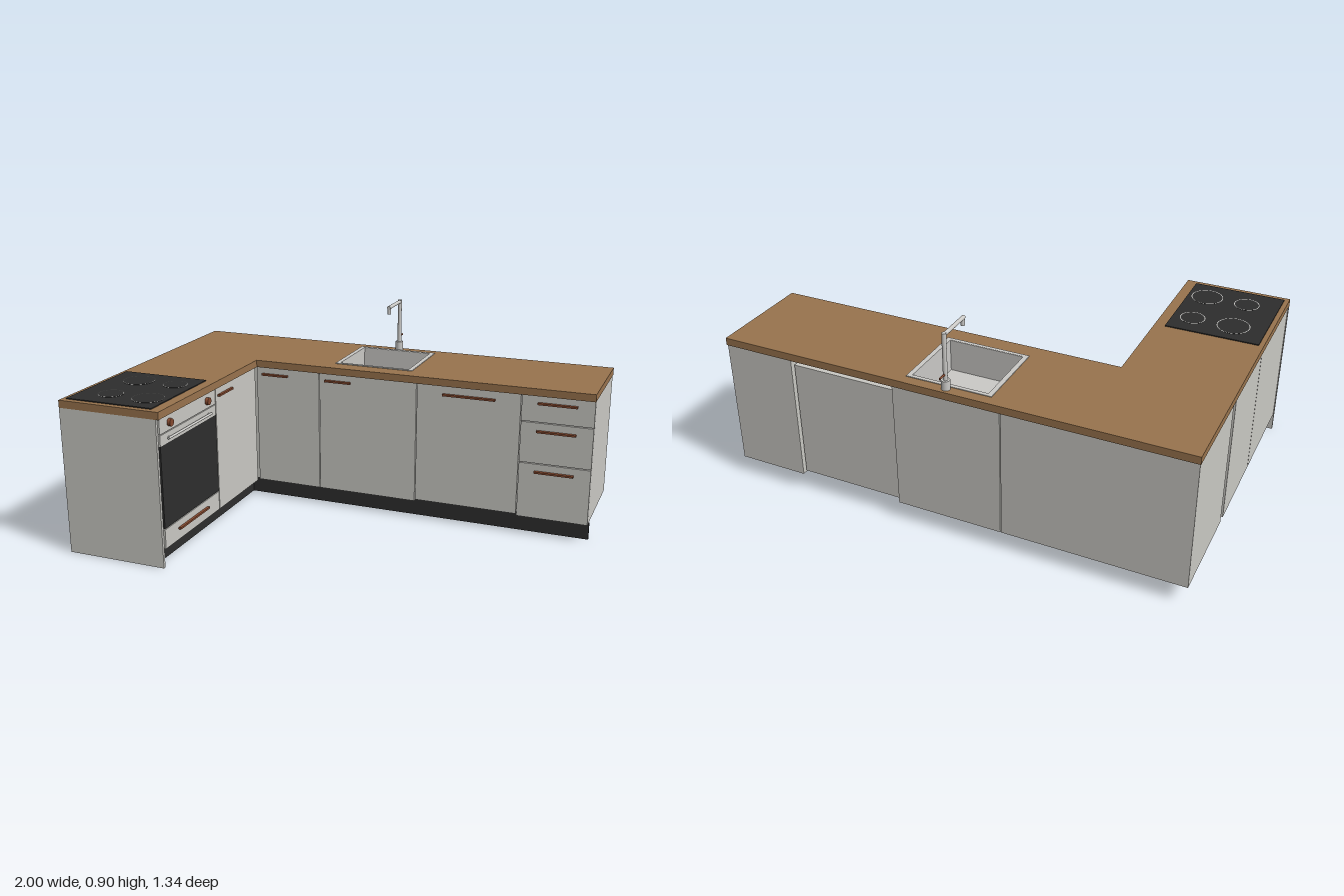
import * as THREE from 'three';

const mat = (name, color, side = THREE.FrontSide) => {
  const m = new THREE.MeshStandardMaterial({ color, side });
  m.name = name;
  return m;
};

export function createModel() {
  const front = mat('cabinet grey', 0xc9c8c3);
  const wood = mat('worktop wood', 0x98734d);
  const dark = mat('black glass', 0x2d2d2d);
  const copper = mat('copper handle', 0x84492f);
  const steel = mat('steel', 0xcac9c6);

  const model = new THREE.Group();
  model.name = 'kitchen';

  const add = (name, geo, m, parent = model) => {
    const mesh = new THREE.Mesh(geo, m);
    mesh.name = name;
    parent.add(mesh);
    return mesh;
  };
  // Box given by its lower and upper limits on each axis
  const box = (name, m, x0, x1, y0, y1, z0, z1, parent = model) => {
    const b = add(name, new THREE.BoxGeometry(x1 - x0, y1 - y0, z1 - z0), m, parent);
    b.position.set((x0 + x1) / 2, (y0 + y1) / 2, (z0 + z1) / 2);
    return b;
  };
  // Cylinder between two points
  const rod = (name, m, a, b, r, parent = model, sides = 24) => {
    const p = new THREE.Vector3(...a), q = new THREE.Vector3(...b);
    const d = q.clone().sub(p);
    const c = add(name, new THREE.CylinderGeometry(r, r, d.length(), sides), m, parent);
    c.position.copy(p).add(q).multiplyScalar(0.5);
    c.quaternion.setFromUnitVectors(new THREE.Vector3(0, 1, 0), d.normalize());
    return c;
  };
  // Carcass of panels, open at the top
  const carcass = (name, x0, x1, y0, y1, z0, z1) => {
    const g = new THREE.Group(), t = 0.01;
    g.name = name;
    box('bottomPanel', front, x0, x1, y0, y0 + t, z0, z1, g);
    box('sidePanel', front, x0, x0 + t, y0 + t, y1, z0, z1, g);
    box('sidePanel', front, x1 - t, x1, y0 + t, y1, z0, z1, g);
    box('backPanel', front, x0 + t, x1 - t, y0 + t, y1, z0, z0 + t, g);
    box('frontPanel', front, x0 + t, x1 - t, y0 + t, y1, z1 - t, z1, g);
    model.add(g);
  };

  const base = 0.08, top = 0.633, deck = 0.665, back = -0.65;

  // Worktop: pieces around the sink opening and the short leg
  const sx = 0.17, sz0 = -0.6, sz1 = -0.28;
  box('worktopLeft', wood, -1, -sx, top, deck, -0.655, -0.195);
  box('worktopRight', wood, sx, 1, top, deck, -0.655, -0.195);
  box('worktopBehindSink', wood, -sx, sx, top, deck, -0.655, sz0);
  box('worktopBeforeSink', wood, -sx, sx, top, deck, sz1, -0.195);
  box('worktopLeg', wood, -1, -0.54, top, deck, -0.195, 0.67);

  // Cabinets of the long run
  carcass('cornerCabinet', -0.997, -0.237, base, top, back, -0.222);
  carcass('sinkCabinet', -0.233, 0.224, base, top, back, -0.222);
  box('dishwasherBody', front, 0.231, 0.685, 0.09, 0.605, -0.635, -0.222);
  carcass('drawerCabinet', 0.69, 0.998, base, top, back, -0.222);

  // Cabinets of the short leg
  carcass('legCabinet', -0.997, -0.557, base, top, -0.187, 0.194);
  carcass('ovenCabinet', -0.997, -0.557, base, top, 0.198, 0.656);
  box('endPanel', front, -1, -0.553, 0, top, 0.658, 0.67);

  // Plinths
  box('plinthLong', dark, -0.61, 1, 0, 0.076, -0.258, -0.248);
  box('plinthLeg', dark, -0.61, -0.6, 0, 0.076, -0.248, 0.657);

  // Fronts and handles of the long run: x0, x1, y0, y1, handle x0, x1, y
  [
    [-0.545, -0.237, 0.082, 0.63, -0.515, -0.39, 0.6],
    [-0.233, 0.224, 0.082, 0.63, -0.205, -0.083, 0.6],
    [0.228, 0.687, 0.09, 0.63, 0.345, 0.577, 0.594],
    [0.691, 0.998, 0.517, 0.63, 0.76, 0.927, 0.6],
    [0.691, 0.998, 0.333, 0.513, 0.76, 0.927, 0.477],
    [0.691, 0.998, 0.082, 0.329, 0.76, 0.927, 0.295],
  ].forEach(([x0, x1, y0, y1, h0, h1, hy]) => {
    box('doorFront', front, x0, x1, y0, y1, -0.221, -0.206);
    box('handle', copper, h0, h1, hy - 0.004, hy + 0.004, -0.206, -0.19);
  });

  // Fronts of the short leg, facing +x
  const legFront = (name, m, z0, z1, y0, y1, x1 = -0.546) =>
    box(name, m, -0.557, x1, y0, y1, z0, z1);
  legFront('legDoor', front, -0.187, 0.194, 0.082, 0.63);
  legFront('ovenDrawer', front, 0.199, 0.656, 0.082, 0.165);
  legFront('ovenGlass', dark, 0.199, 0.656, 0.169, 0.518);
  legFront('ovenDoorTop', front, 0.199, 0.656, 0.518, 0.563);
  legFront('ovenControls', front, 0.199, 0.656, 0.567, 0.63);
  box('handle', copper, -0.546, -0.534, 0.594, 0.602, 0.05, 0.175);
  box('handle', copper, -0.546, -0.534, 0.127, 0.135, 0.305, 0.552);
  rod('ovenBar', steel, [-0.537, 0.54, 0.25], [-0.537, 0.54, 0.607], 0.005);
  for (const z of [0.265, 0.592])
    rod('ovenBarMount', steel, [-0.546, 0.54, z], [-0.537, 0.54, z], 0.004);
  for (const z of [0.273, 0.583])
    rod('ovenKnob', copper, [-0.546, 0.6, z], [-0.532, 0.6, z], 0.016);

  // Hob with four ringed burners
  box('hob', dark, -0.98, -0.585, deck, 0.669, 0.2, 0.645);
  [[-0.845, 0.312, 0.067], [-0.67, 0.312, 0.051], [-0.845, 0.527, 0.052], [-0.67, 0.527, 0.066]]
    .forEach(([x, z, r]) => {
      rod('burner', dark, [x, 0.668, z], [x, 0.6705, z], r, model, 40);
      const ring = add('burnerRing', new THREE.RingGeometry(r - 0.001, r + 0.002, 48), steel);
      ring.rotation.x = -Math.PI / 2;
      ring.position.set(x, 0.671, z);
    });

  // Sink: flat rim, thin walls, floor and drain
  const sink = new THREE.Group();
  sink.name = 'sink';
  model.add(sink);
  const floor = 0.53, rim = 0.668;
  for (const s of [-1, 1]) {
    box('rimSide', steel, s * 0.172 - 0.01, s * 0.172 + 0.01, deck - 0.001, rim, -0.61, -0.27, sink);
    box('basinSide', steel, s * 0.166 - 0.004, s * 0.166 + 0.004, floor, rim - 0.001, sz0, sz1, sink);
  }
  for (const z of [-0.602, -0.278])
    box('rimEdge', steel, -0.162, 0.162, deck - 0.001, rim, z - 0.008, z + 0.008, sink);
  for (const z of [sz0 + 0.004, sz1 - 0.004])
    box('basinEnd', steel, -0.162, 0.162, floor, rim - 0.001, z - 0.004, z + 0.004, sink);
  box('basinFloor', steel, -sx, sx, floor - 0.008, floor, sz0, sz1, sink);
  rod('drain', dark, [0, floor - 0.002, -0.44], [0, floor + 0.003, -0.44], 0.023, sink);

  // Tap with a square elbow spout and a side lever at the back
  const tap = new THREE.Group();
  tap.name = 'tap';
  model.add(tap);
  const tz = -0.627;
  rod('tapBase', steel, [0, deck, tz], [0, 0.705, tz], 0.018, tap);
  rod('tapColumn', steel, [0, 0.7, tz], [0, 0.903, tz], 0.009, tap);
  rod('tapSpout', steel, [0, 0.895, tz], [0, 0.895, -0.47], 0.008, tap);
  rod('tapNozzle', steel, [0, 0.897, -0.479], [0, 0.864, -0.479], 0.008, tap);
  rod('tapLever', copper, [0, 0.73, tz], [0, 0.73, -0.67], 0.004, tap);

  return model;
}
